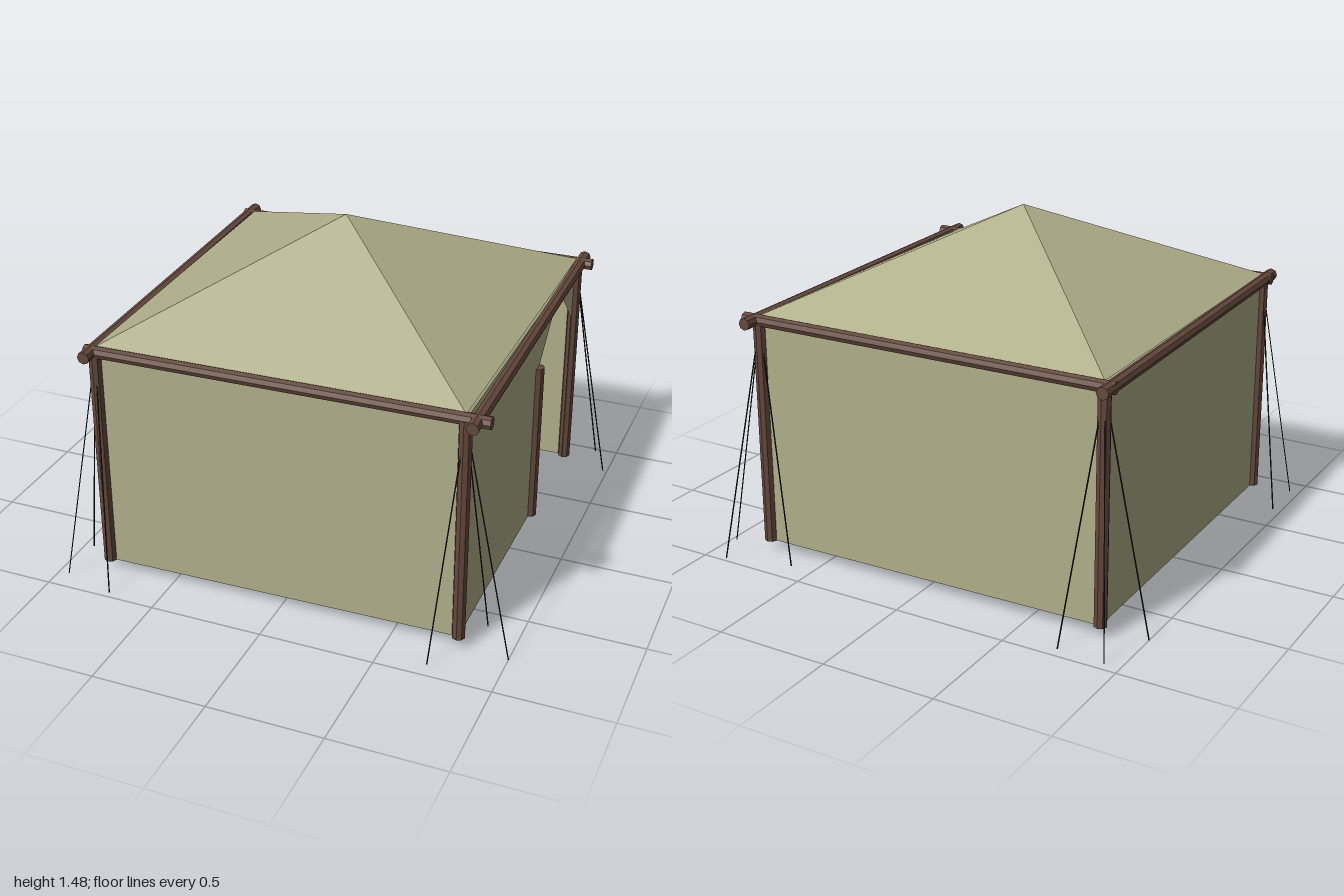
import * as THREE from 'three';

const material = (color, extra = {}) =>
  new THREE.MeshStandardMaterial({ color, flatShading: true, ...extra });
const canvas = material(0xb0af8a, { side: THREE.DoubleSide });
const wood = material(0x64483c);
const barrelRed = material(0xa0776b);
const cord = material(0x24211b);

const FLOOR = 0.05, EAVE = 1.06;
// Slightly skewed corners, in order around the tent: [x, z]
const corners = [[-0.803, 0.8], [0.783, 0.77], [0.783, -0.81], [-0.82, -0.78]];
const cornerNames = ['FrontRight', 'FrontLeft', 'BackLeft', 'BackRight'];

export function createModel() {
  const tent = new THREE.Group();
  tent.name = 'tent';

  const add = (geometry, mat, name) => {
    const mesh = new THREE.Mesh(geometry, mat);
    mesh.name = name;
    tent.add(mesh);
    return mesh;
  };

  // Straight round rod between two points
  const rod = (a, b, radius, sides, mat, name) => {
    const start = new THREE.Vector3(...a), end = new THREE.Vector3(...b);
    const dir = end.clone().sub(start);
    const mesh = add(new THREE.CylinderGeometry(radius, radius, dir.length(), sides), mat, name);
    mesh.position.copy(start).add(end).multiplyScalar(0.5);
    mesh.quaternion.setFromUnitVectors(new THREE.Vector3(0, 1, 0), dir.normalize());
  };

  // Canvas wall: an outline of [fraction along wall, height] laid between two corners
  const wall = (a, b, outline, name) => {
    const shape = new THREE.Shape(outline.map(([u, y]) => new THREE.Vector2(u, y)));
    const geometry = new THREE.ShapeGeometry(shape);
    const p = geometry.attributes.position;
    for (let i = 0; i < p.count; i++) {
      const u = p.getX(i);
      p.setXYZ(i, a[0] + (b[0] - a[0]) * u, p.getY(i), a[1] + (b[1] - a[1]) * u);
    }
    geometry.computeVertexNormals();
    add(geometry, canvas, name);
  };

  // Walls; the one on the left side has a pointed doorway near the back
  const along = z => (corners[1][1] - z) / (corners[1][1] - corners[2][1]);
  const plain = [[0, FLOOR], [1, FLOOR], [1, EAVE], [0, EAVE]];
  const doorway = [
    [0, FLOOR], [along(-0.25), FLOOR], [along(-0.25), 0.79], [along(-0.53), 1.04],
    [along(-0.77), 0.8], [along(-0.77), FLOOR], [1, FLOOR], [1, EAVE], [0, EAVE],
  ];
  ['frontWall', 'doorWall', 'backWall', 'rightWall'].forEach((name, i) =>
    wall(corners[i], corners[(i + 1) % 4], i === 1 ? doorway : plain, name));

  // Four-sided pyramid roof
  const apex = [-0.02, 1.48, 0];
  const roofPoints = corners.flatMap(([x, z], i) => {
    const [nx, nz] = corners[(i + 1) % 4];
    return [x, 1.08, z, nx, 1.08, nz, ...apex];
  });
  const roof = new THREE.BufferGeometry();
  roof.setAttribute('position', new THREE.Float32BufferAttribute(roofPoints, 3));
  roof.computeVertexNormals();
  add(roof, canvas, 'roof');

  // Corner posts and door post
  corners.forEach(([x, z], i) =>
    rod([x, FLOOR, z], [x, EAVE, z], 0.028, 8, wood, 'post' + cornerNames[i]));
  rod([0.783, FLOOR, -0.235], [0.783, 0.8, -0.235], 0.03, 8, wood, 'doorPost');

  // Crossing eave beams
  [
    ['frontBeam', -0.845, 0.805, 0.885, 0.765],
    ['backBeam', -0.87, -0.785, 0.855, -0.815],
    ['rightBeam', -0.85, -0.86, -0.815, 0.875],
    ['leftBeam', 0.8, -0.89, 0.83, 0.84],
  ].forEach(([name, x1, z1, x2, z2]) =>
    rod([x1, EAVE, z1], [x2, EAVE, z2], 0.027, 8, wood, name));

  // Three guy ropes from each corner to the ground: [x, z] of the pegged ends
  const ropeEnds = [
    [[-0.96, 0.68], [-0.955, 0.905], [-0.72, 0.97]],
    [[1.0, 0.78], [0.705, 0.93], [0.855, 0.595]],
    [[0.9, -0.98], [0.61, -0.9], [0.98, -0.81]],
    [[-0.93, -0.96], [-0.72, -0.95], [-1.0, -0.71]],
  ];
  ropeEnds.forEach((ends, i) => {
    const [x, z] = corners[i];
    ends.forEach(([ex, ez]) =>
      rod([x, 1.05, z], [ex, 0.002, ez], 0.003, 4, cord, 'guyRope' + cornerNames[i]));
  });

  // Two octagonal barrels inside
  [[0.49, -0.07], [-0.12, -0.59]].forEach(([x, z]) => {
    const barrel = add(new THREE.CylinderGeometry(0.196, 0.196, 0.395, 8), barrelRed, 'barrel');
    barrel.position.set(x, 0.2425, z);
    barrel.rotation.y = Math.PI / 8;
  });

  return tent;
}
